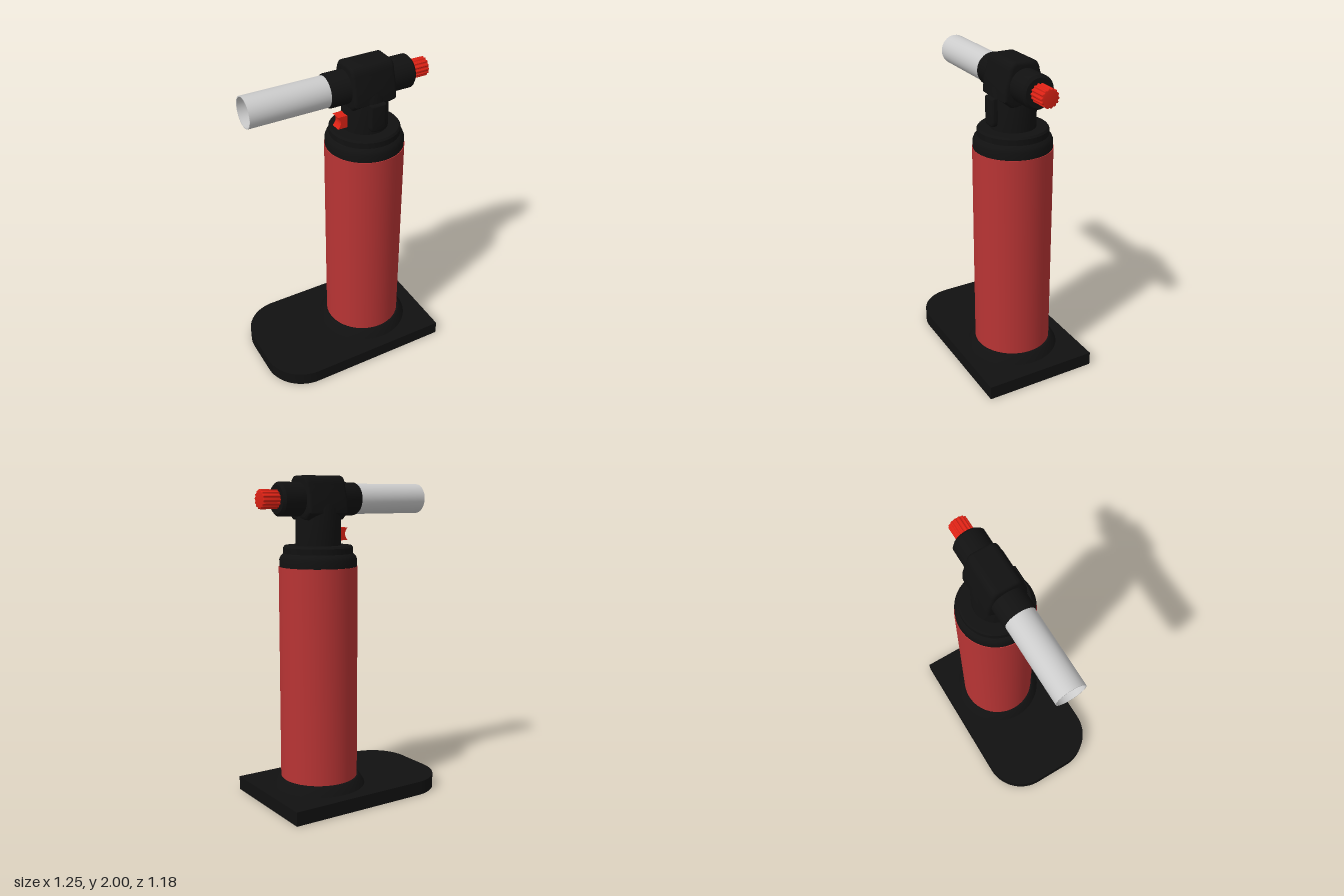
import * as THREE from 'three';
import { toCreasedNormals } from 'three/addons/utils/BufferGeometryUtils.js';

const mat = (color) => new THREE.MeshStandardMaterial({ color, side: THREE.DoubleSide });

export function createModel() {
  const model = new THREE.Group();
  model.name = 'blowTorch';
  // Torch axis is local x (nozzle at +x), turned to point front right
  const torch = new THREE.Group();
  torch.name = 'torch';
  torch.position.set(0.095, 0, -0.07);
  torch.rotation.y = Math.PI + 0.661;
  model.add(torch);

  const black = mat(0x111111), canRed = mat(0xb83434), red = mat(0xdd2215), grey = mat(0xcccccc);
  const AXIS_Y = 1.862;

  const add = (name, geometry, material, crease = 0.6) => {
    const mesh = new THREE.Mesh(toCreasedNormals(geometry, crease), material);
    mesh.name = name;
    torch.add(mesh);
    return mesh;
  };
  const lathe = (points, segments = 48) =>
    new THREE.LatheGeometry(points.map(([r, h]) => new THREE.Vector2(r, h)), segments);
  // Lathe lying along the torch axis; profile is [radius, x]
  const along = (points, segments) => lathe(points, segments).rotateZ(-Math.PI / 2).translate(0, AXIS_Y, 0);
  const extrude = (shape, depth, bevel = 0) => new THREE.ExtrudeGeometry(shape, {
    depth, curveSegments: 12, bevelEnabled: bevel > 0, bevelSize: bevel,
    bevelThickness: bevel, bevelOffset: -bevel, bevelSegments: 3,
  });

  // Base plate: square back, rounded front corners
  const back = -0.381, front = 0.765, w = 0.363, r = 0.245;
  const plate = new THREE.Shape();
  plate.moveTo(back, -w);
  plate.lineTo(front - r, -w);
  plate.absarc(front - r, -w + r, r, -Math.PI / 2, 0);
  plate.absarc(front - r, w - r, r, 0, Math.PI / 2);
  plate.lineTo(back, w);
  plate.closePath();
  add('basePlate', extrude(plate, 0.087).rotateX(-Math.PI / 2), black);

  // Collar, can and shoulder cap
  add('baseCollar', lathe([[0.29, 0.085], [0.283, 0.098], [0.258, 0.137], [0.25, 0.143], [0.23, 0.143]]), black);
  add('fuelCan', lathe([[0, 0.1], [0.24, 0.1], [0.24, 1.46], [0, 1.46]]), canRed);
  add('shoulderCap', lathe([[0.236, 1.455], [0.236, 1.505], [0.228, 1.525], [0.212, 1.54],
    [0.212, 1.575], [0.203, 1.587], [0.16, 1.587], [0, 1.59]]), black);

  // Neck with a raised clip on one side
  add('neck', lathe([[0.137, 1.57], [0.137, 1.8], [0.12, 1.86], [0, 1.86]]), black);
  const clip = new THREE.Shape();
  clip.moveTo(-0.05, 1.78);
  clip.lineTo(-0.05, 1.65);
  clip.quadraticCurveTo(-0.05, 1.61, -0.02, 1.61);
  clip.lineTo(0.02, 1.61);
  clip.quadraticCurveTo(0.05, 1.61, 0.05, 1.65);
  clip.lineTo(0.05, 1.78);
  clip.closePath();
  add('neckClip', extrude(clip, 0.06, 0.012).translate(0, 0, -0.147), black);

  // Head block: arched section, flaring down to the neck
  const arch = new THREE.Shape();
  arch.moveTo(-0.13, 1.78);
  arch.lineTo(-0.125, 1.86);
  arch.lineTo(-0.1, 1.94);
  arch.quadraticCurveTo(-0.09, 2, -0.05, 2);
  arch.lineTo(0.05, 2);
  arch.quadraticCurveTo(0.09, 2, 0.1, 1.94);
  arch.lineTo(0.125, 1.86);
  arch.lineTo(0.13, 1.78);
  arch.lineTo(0.08, 1.74);
  arch.lineTo(-0.08, 1.74);
  arch.closePath();
  add('headBlock', extrude(arch, 0.234, 0.02).translate(0, 0, -0.117).rotateY(Math.PI / 2), black);

  // Burner body, open nozzle tube and fluted valve knob
  add('burnerBody', along([[0, -0.287], [0.085, -0.287], [0.1, -0.272], [0.1, 0.25], [0.093, 0.262], [0, 0.262]], 32), black);
  add('nozzle', along([[0.092, 0.25], [0.092, 0.75], [0.087, 0.75], [0.087, 0.25]], 32), grey);
  const knob = new THREE.Shape();
  const flutes = 14;
  for (let i = 0; i < flutes * 4; i++) {
    const a = (i / (flutes * 4)) * Math.PI * 2, rad = i % 4 < 2 ? 0.057 : 0.051;
    knob[i ? 'lineTo' : 'moveTo'](Math.cos(a) * rad, Math.sin(a) * rad);
  }
  knob.closePath();
  add('valveKnob', extrude(knob, 0.115, 0.004).rotateY(Math.PI / 2).translate(-0.394, AXIS_Y, 0), red);

  // Trigger with a hollowed finger face
  const trigger = new THREE.Shape();
  trigger.moveTo(0.11, 1.613);
  trigger.lineTo(0.194, 1.613);
  trigger.quadraticCurveTo(0.155, 1.652, 0.194, 1.69);
  trigger.lineTo(0.11, 1.69);
  trigger.closePath();
  add('trigger', extrude(trigger, 0.064).translate(0, 0, -0.032), red);

  return model;
}
